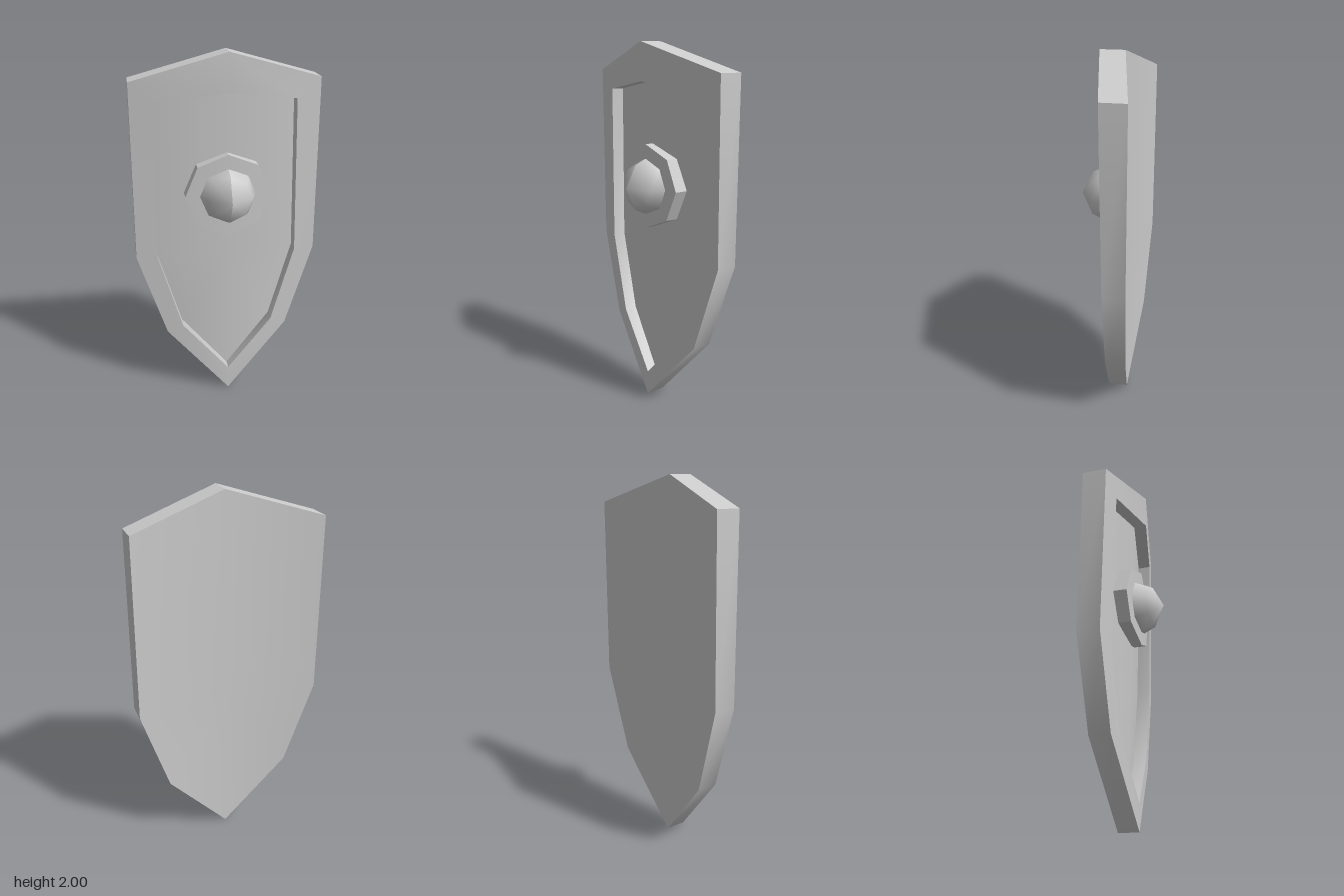
import * as THREE from 'three';
import { mergeVertices, toCreasedNormals } from 'three/addons/utils/BufferGeometryUtils.js';

const grey = new THREE.MeshStandardMaterial({ color: 0xcccccc });

// Half outline (top, three side corners, tip) mirrored to a closed clockwise loop
const loop = half => [
  ...half,
  ...half.slice(1, -1).reverse().map(([x, y, z]) => [-x, y, z]),
];

// Moves the sides of a geometry back, either side of the centre ridge
function bend(geo, slope) {
  const p = geo.attributes.position;
  for (let i = 0; i < p.count; i++) p.setZ(i, p.getZ(i) - slope * Math.abs(p.getX(i)));
  return geo;
}

// Ring of quads between two loops
function band(out, a, b) {
  a.forEach((p, i) => {
    const j = (i + 1) % a.length;
    out.push(...p, ...b[i], ...b[j], ...p, ...b[j], ...a[j]);
  });
}

// Fan from a point on the ridge, halfway down the spine
function face(out, ring, towardsBack) {
  const t = 0.56, top = ring[0], tip = ring[4];
  const mid = top.map((v, k) => v + (tip[k] - v) * t);
  ring.forEach((p, i) => {
    const q = ring[(i + 1) % ring.length];
    out.push(...mid, ...(towardsBack ? p : q), ...(towardsBack ? q : p));
  });
}

function shieldGeometry() {
  const front = loop([[0, 2, 0.065], [0.5, 1.85, -0.03], [0.505, 0.88, -0.04], [0.35, 0.4, -0.025], [0, 0, 0.02]]);
  const backZ = [-0.066, -0.163, -0.16, -0.137, -0.09];
  const back = front.map(([x, y], i) => [x, y, backZ[i < 5 ? i : 8 - i]]);
  const rim = loop([[0, 1.8, 0.065], [0.37, 1.745, -0.008], [0.39, 0.88, -0.022], [0.26, 0.44, -0.01], [0, 0.14, 0.02]]);
  const floor = rim.map(([x, y, z], i) => [x, y, z - (i === 4 ? 0.06 : 0.073)]);

  const v = [];
  band(v, back, front);   // outer edge
  band(v, front, rim);    // raised border
  band(v, rim, floor);    // step down to the panel
  face(v, floor, false);  // sunken panel
  face(v, back, true);    // back
  const geo = new THREE.BufferGeometry();
  geo.setAttribute('position', new THREE.Float32BufferAttribute(v, 3));
  return toCreasedNormals(geo, 0.5);
}

export function createModel() {
  const group = new THREE.Group();
  const add = (name, geo, y) => {
    const mesh = new THREE.Mesh(geo, grey);
    mesh.name = name;
    mesh.position.y = y;
    group.add(mesh);
  };

  add('shieldBody', shieldGeometry(), 0);

  // Octagonal plate under the boss
  const plate = new THREE.CylinderGeometry(0.23, 0.23, 0.085, 8).rotateX(Math.PI / 2).translate(0, 0, -0.0075);
  add('bossPlate', toCreasedNormals(bend(plate, 0.1), 0.5), 1.242);

  // Faceted dome in two smooth halves that meet on the centre ridge
  const profile = [[0.152, 0.02], [0.152, 0.035], [0.122, 0.102], [0, 0.164]].map(p => new THREE.Vector2(...p));
  for (const [name, start] of [['bossLeft', 0], ['bossRight', Math.PI]]) {
    const lathe = new THREE.LatheGeometry(profile, 4, start, Math.PI).rotateX(Math.PI / 2);
    lathe.deleteAttribute('uv').deleteAttribute('normal');
    const dome = mergeVertices(bend(lathe, 0.1));
    dome.computeVertexNormals();
    add(name, dome, 1.242);
  }
  return group;
}
